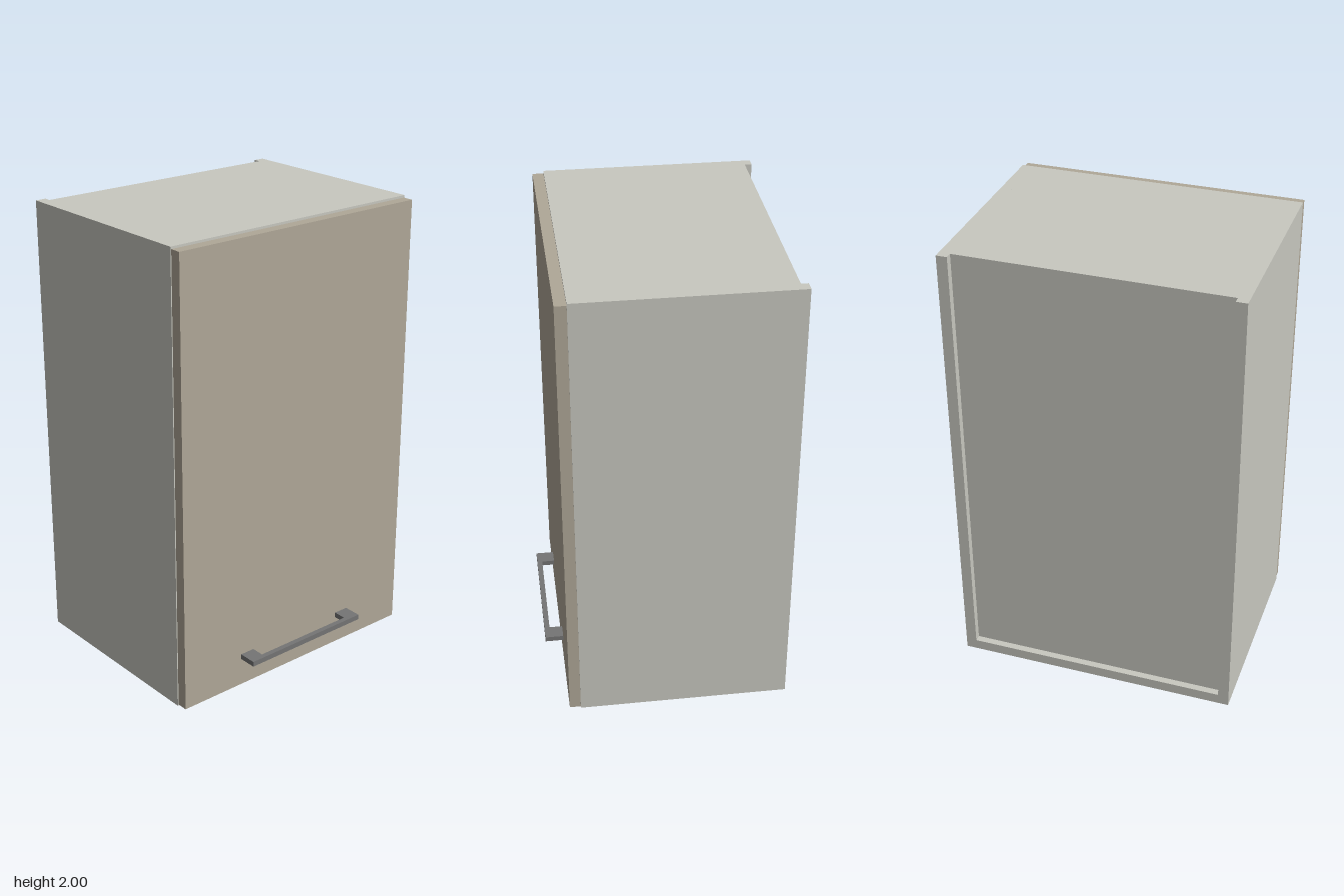
import * as THREE from 'three';

const bodyMaterial = new THREE.MeshStandardMaterial({ color: 0xc8c8c0 });
bodyMaterial.name = 'paleGreyBoard';
const doorMaterial = new THREE.MeshStandardMaterial({ color: 0xb0a898 });
doorMaterial.name = 'beigeDoor';
const handleMaterial = new THREE.MeshStandardMaterial({ color: 0x757575 });
handleMaterial.name = 'greyMetal';

// Box given by its lower and upper limits on each axis
function panel(name, material, [x0, x1], [y0, y1], [z0, z1]) {
  const mesh = new THREE.Mesh(new THREE.BoxGeometry(x1 - x0, y1 - y0, z1 - z0), material);
  mesh.position.set((x0 + x1) / 2, (y0 + y1) / 2, (z0 + z1) / 2);
  mesh.name = name;
  return mesh;
}

export function createModel() {
  const cabinet = new THREE.Group();
  cabinet.name = 'wallCabinet';

  const half = 0.62, inner = 0.573, board = 0.047;
  const back = -0.52, front = 0.392, doorFront = 0.44;

  // Carcass: full-depth sides and bottom, top stopping at the recessed back
  cabinet.add(
    panel('leftSide', bodyMaterial, [inner, half], [0, 2], [back, front]),
    panel('rightSide', bodyMaterial, [-half, -inner], [0, 2], [back, front]),
    panel('bottomPanel', bodyMaterial, [-inner, inner], [0, board], [back, front]),
    panel('topPanel', bodyMaterial, [-inner, inner], [2 - board, 2], [-0.481, front]),
    panel('backPanel', bodyMaterial, [-inner, inner], [board, 2], [-0.49, -0.481])
  );

  // Door, a little smaller than the carcass
  cabinet.add(panel('door', doorMaterial, [-0.616, 0.616], [0.005, 1.99], [front, doorFront]));

  // Handle: thin bar carried by two feet
  const handle = new THREE.Group();
  handle.name = 'handle';
  const height = [0.13, 0.153];
  handle.add(
    panel('handleBar', handleMaterial, [-0.243, 0.243], height, [0.497, 0.52]),
    panel('leftHandleFoot', handleMaterial, [0.243, 0.311], height, [doorFront, 0.52]),
    panel('rightHandleFoot', handleMaterial, [-0.311, -0.243], height, [doorFront, 0.52])
  );
  cabinet.add(handle);

  return cabinet;
}
